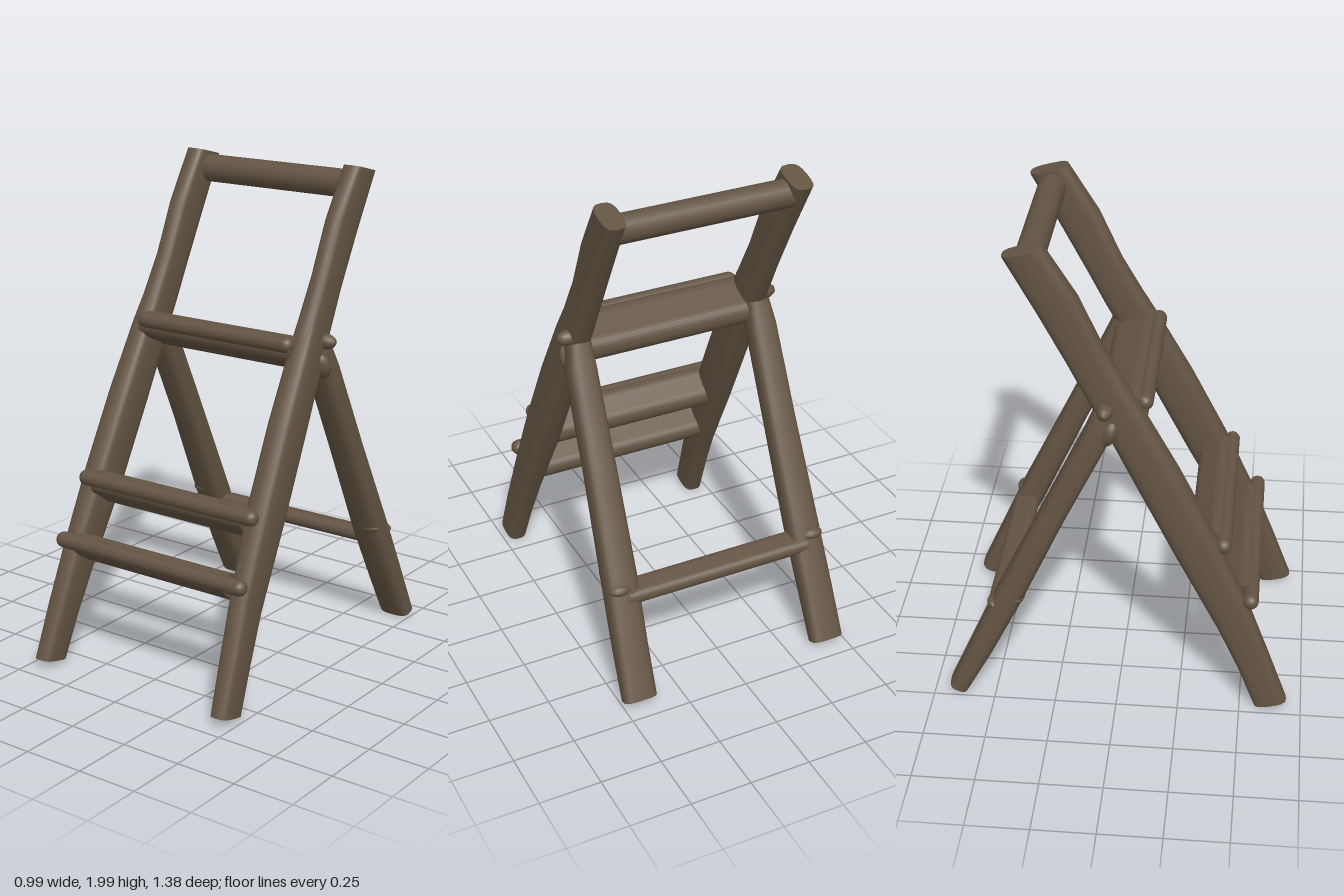
import * as THREE from 'three';

// Loft of rounded-rectangle sections, bottom to top.
// Each row: [frontY, frontZ, backY, backZ, centreX, halfWidth]
function beam(rows, side) {
  const N = 20, pos = [], idx = [];
  const soft = (v) => Math.sign(v) * Math.pow(Math.abs(v), 0.65);
  const ring = ([fy, fz, by, bz, cx, hw]) => {
    for (let i = 0; i < N; i++) {
      const a = (i / N) * Math.PI * 2;
      const u = soft(Math.cos(a)), v = soft(Math.sin(a));
      pos.push(cx * side + hw * u, (fy + by) / 2 + ((fy - by) / 2) * v, (fz + bz) / 2 + ((fz - bz) / 2) * v);
    }
  };
  rows.forEach(ring);
  for (let j = 0; j < rows.length - 1; j++) {
    for (let i = 0; i < N; i++) {
      const a = j * N + i, b = j * N + ((i + 1) % N);
      idx.push(a, a + N, b, b, a + N, b + N);
    }
  }
  // flat end caps with their own vertices
  [rows[0], rows[rows.length - 1]].forEach((r, e) => {
    const s = pos.length / 3;
    ring(r);
    for (let i = 1; i < N - 1; i++) idx.push(s, e ? s + i + 1 : s + i, e ? s + i : s + i + 1);
  });
  const g = new THREE.BufferGeometry();
  g.setAttribute('position', new THREE.Float32BufferAttribute(pos, 3));
  g.setIndex(idx);
  g.computeVertexNormals();
  return g;
}

// Plank along x with rounded long edges, running from front (y, z) to back (y, z)
function plank(fy, fz, by, bz, r, length) {
  const d = Math.hypot(fy - by, fz - bz) / 2;
  const s = new THREE.Shape();
  s.absarc(d, 0, r, -Math.PI / 2, Math.PI / 2, false);
  s.absarc(-d, 0, r, Math.PI / 2, Math.PI * 1.5, false);
  const g = new THREE.ExtrudeGeometry(s, { depth: length, bevelEnabled: false, curveSegments: 8 });
  g.translate(0, 0, -length / 2);
  g.rotateY(-Math.PI / 2); // shape x -> z, extrusion -> x
  g.rotateX(-Math.atan2(fy - by, fz - bz));
  g.translate(0, (fy + by) / 2, (fz + bz) / 2);
  return g;
}

export function createModel() {
  const model = new THREE.Group();
  const wood = new THREE.MeshStandardMaterial({ color: 0x635443 });
  wood.name = 'dark wood';
  const add = (name, geo) => {
    const m = new THREE.Mesh(geo, wood);
    m.name = name;
    model.add(m);
    return m;
  };

  const frontRows = [
    [0.045, 0.69, 0.015, 0.56, 0.44, 0.042],
    [0.26, 0.61, 0.19, 0.49, 0.43, 0.046],
    [0.48, 0.525, 0.37, 0.405, 0.418, 0.048],
    [0.78, 0.39, 0.70, 0.232, 0.402, 0.058],
    [1.08, 0.24, 1.0, 0.08, 0.392, 0.057],
    [1.34, 0.095, 1.28, -0.06, 0.384, 0.052],
    [1.45, 0.03, 1.39, -0.12, 0.38, 0.046],
    [1.6, -0.055, 1.53, -0.19, 0.378, 0.044],
    [1.8, -0.145, 1.74, -0.3, 0.378, 0.045],
    [2.0, -0.27, 1.96, -0.42, 0.38, 0.045],
  ];
  const backRows = [
    [0.01, -0.615, 0.04, -0.69, 0.425, 0.07],
    [0.2, -0.512, 0.24, -0.602, 0.42, 0.07],
    [0.44, -0.392, 0.485, -0.495, 0.41, 0.07],
    [0.85, -0.205, 0.89, -0.3, 0.4, 0.064],
    [1.2, -0.035, 1.25, -0.13, 0.395, 0.06],
    [1.3, -0.005, 1.34, -0.09, 0.39, 0.05],
  ];

  for (const side of [1, -1]) {
    const label = side > 0 ? 'left' : 'right';
    add(label + 'FrontLeg', beam(frontRows, side));
    add(label + 'BackLeg', beam(backRows, side));

    // hinge pin and the rounded head of the back leg below it
    const pin = add(label + 'HingePin', new THREE.SphereGeometry(0.032, 14, 10));
    pin.scale.set(1.7, 1, 1);
    pin.position.set(side * 0.422, 1.35, -0.045);
    const head = add(label + 'BackLegHead', new THREE.SphereGeometry(0.04, 14, 10));
    head.scale.set(1, 1.45, 0.85);
    head.rotation.x = 0.35;
    head.position.set(side * 0.42, 1.255, -0.03);

    // small pegs showing through the back leg
    for (const [y, z] of [[0.48, -0.4], [0.45, -0.495]]) {
      const peg = add(label + 'RungPeg', new THREE.SphereGeometry(0.026, 12, 8));
      peg.scale.set(1.8, 0.9, 1.1);
      peg.position.set(side * 0.43, y, z);
    }
  }

  // steps: thick sloping tread plus a rounded nosing that overlaps the front legs
  const steps = [
    ['lowerStep', 0.517, 0.53, 0.505, 0.5, 0.458, 0.43, 0.045, 0.93],
    ['middleStep', 0.755, 0.415, 0.735, 0.385, 0.69, 0.328, 0.05, 0.87],
    ['upperStep', 1.353, 0.1, 1.325, 0.06, 1.28, -0.03, 0.055, 0.75],
  ];
  for (const [name, y, z, fy, fz, by, bz, r, width] of steps) {
    add(name + 'Tread', plank(fy, fz, by, bz, r, 0.74));
    const nosing = add(name + 'Nosing', new THREE.CapsuleGeometry(0.032, width - 0.064, 6, 14));
    nosing.rotation.z = Math.PI / 2;
    nosing.position.set(0, y, z);
  }

  // top rail and rear rung
  const rail = add('topRail', new THREE.CylinderGeometry(0.056, 0.056, 0.74, 18));
  rail.rotation.z = Math.PI / 2;
  rail.position.set(0, 1.915, -0.33);
  add('rearRung', plank(0.418, -0.452, 0.406, -0.498, 0.032, 0.8));

  return model;
}
